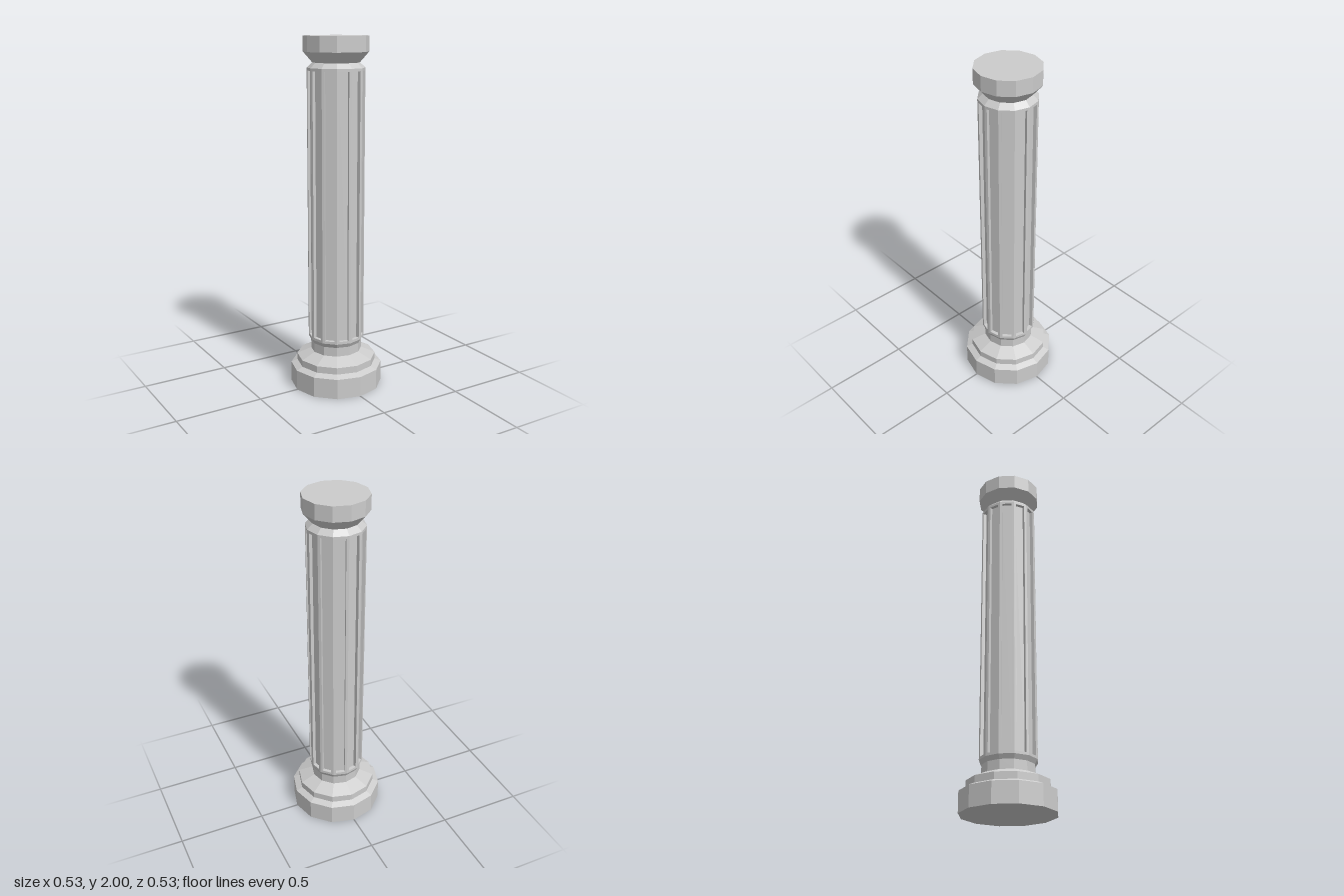
import * as THREE from 'three';

const SIDES = 12;
const FLUTE_BOTTOM = 0.3, FLUTE_TOP = 1.815;
const SHAFT_RADIUS = 0.16, FLUTE_DEPTH = 0.02, FLUTE_HALF_WIDTH = 0.027;

export function createModel() {
  const column = new THREE.Group();
  column.name = 'column';
  const stone = new THREE.MeshStandardMaterial({ color: 0xcccccc, flatShading: true });

  const add = (name, geometry) => {
    const mesh = new THREE.Mesh(geometry, stone);
    mesh.name = name;
    column.add(mesh);
    return mesh;
  };
  // Faceted turned part from [radius, height] pairs, bottom to top
  const turned = (name, profile) =>
    add(name, new THREE.LatheGeometry(profile.map(([r, y]) => new THREE.Vector2(r, y)), SIDES));

  // Stepped base, neck and the plain band below the flutes
  turned('base', [
    [0, 0], [0.264, 0], [0.264, 0.117], [0.228, 0.133], [0.228, 0.172],
    [0.146, 0.207], [0.146, 0.26], [SHAFT_RADIUS, 0.285],
    [SHAFT_RADIUS, FLUTE_BOTTOM], [0, FLUTE_BOTTOM],
  ]);

  // Shaft: twelve-sided plan with one square-cut flute in each side
  const apothem = SHAFT_RADIUS * Math.cos(Math.PI / SIDES);
  const halfSide = SHAFT_RADIUS * Math.sin(Math.PI / SIDES);
  const plan = [];
  for (let i = 0; i < SIDES; i++) {
    const angle = ((i + 0.5) / SIDES) * Math.PI * 2;
    const floor = apothem - FLUTE_DEPTH;
    for (const [out, along] of [
      [apothem, -halfSide],
      [apothem, -FLUTE_HALF_WIDTH], [floor, -FLUTE_HALF_WIDTH],
      [floor, FLUTE_HALF_WIDTH], [apothem, FLUTE_HALF_WIDTH],
    ]) {
      plan.push(new THREE.Vector2(out, along).rotateAround(new THREE.Vector2(), angle));
    }
  }
  const shaft = new THREE.ExtrudeGeometry(new THREE.Shape(plan), {
    depth: FLUTE_TOP - FLUTE_BOTTOM, bevelEnabled: false,
  });
  shaft.rotateX(-Math.PI / 2).translate(0, FLUTE_BOTTOM, 0);
  add('flutedShaft', shaft);

  // Plain band above the flutes, pinched neck and flared capital
  turned('capital', [
    [0, FLUTE_TOP], [SHAFT_RADIUS, FLUTE_TOP], [SHAFT_RADIUS, 1.83], [0.13, 1.858],
    [0.18, 1.915], [0.18, 2], [0, 2],
  ]);

  return column;
}
